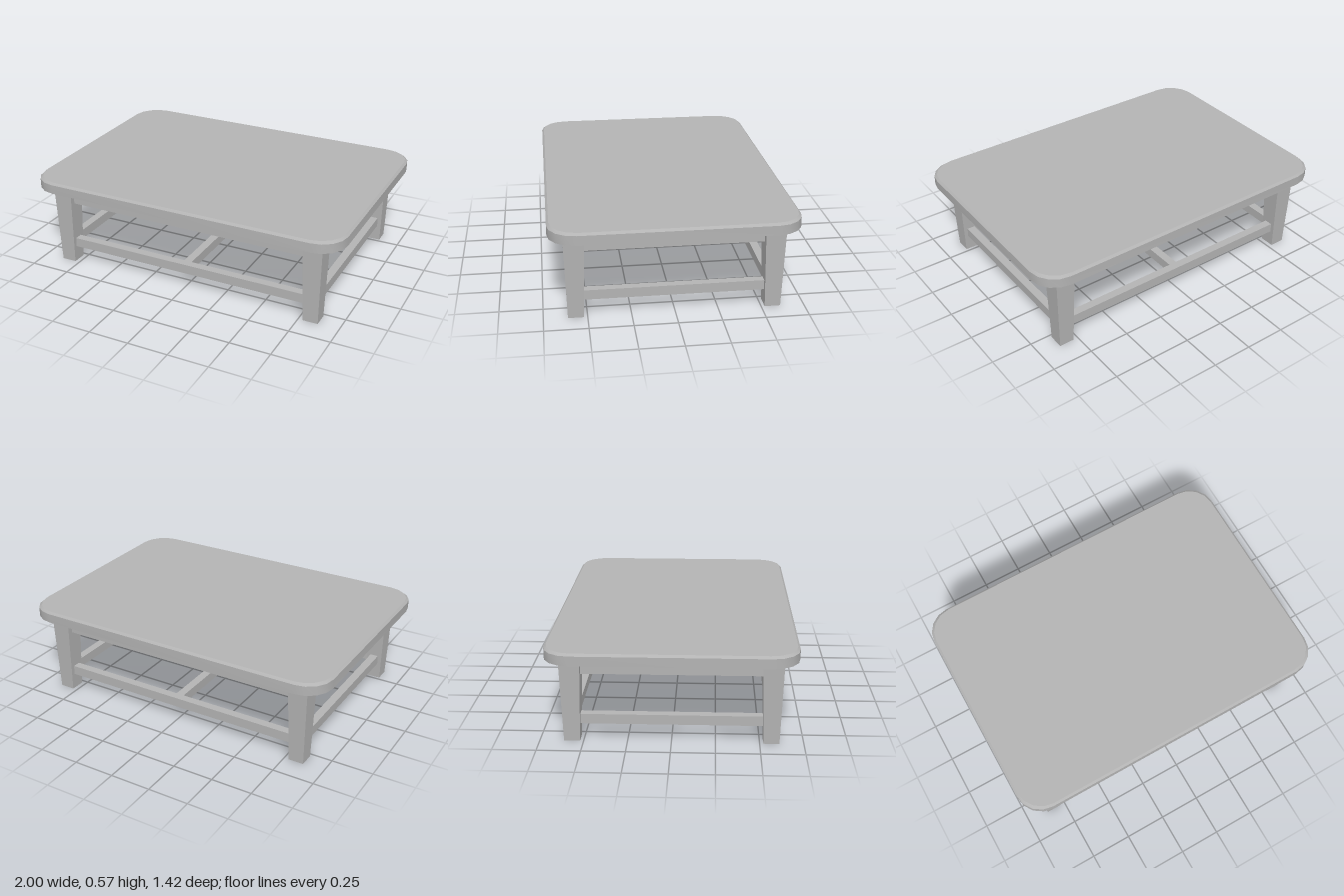
import * as THREE from 'three';
import { toCreasedNormals } from 'three/addons/utils/BufferGeometryUtils.js';

const LEG_X = 0.825, LEG_Z = 0.566, UNDER = 0.505, TOP = 0.575;

export function createModel() {
  const table = new THREE.Group();
  table.name = 'table';
  const grey = new THREE.MeshStandardMaterial({ color: 0xb3b3b3 });
  grey.name = 'plain grey';

  const add = (name, geometry, x, y, z) => {
    const mesh = new THREE.Mesh(geometry, grey);
    mesh.name = name;
    mesh.position.set(x, y, z);
    table.add(mesh);
  };

  // Tabletop: rounded slab, with its upper rim drawn in as a small chamfer
  const w = 1, d = 0.71, r = 0.16, inset = 0.013;
  const outline = new THREE.Shape();
  outline.absarc(w - r, d - r, r, 0, Math.PI / 2);
  outline.absarc(r - w, d - r, r, Math.PI / 2, Math.PI);
  outline.absarc(r - w, r - d, r, Math.PI, Math.PI * 1.5);
  outline.absarc(w - r, r - d, r, Math.PI * 1.5, Math.PI * 2);
  const slab = new THREE.ExtrudeGeometry(outline, {
    depth: TOP - UNDER, steps: 2, curveSegments: 2, bevelEnabled: false,
  });
  const p = slab.attributes.position;
  for (let i = 0; i < p.count; i++) {
    const level = Math.round(p.getZ(i) / (TOP - UNDER) * 2);
    if (level === 1) p.setZ(i, 0.057);
    if (level === 2) {
      p.setX(i, p.getX(i) * (w - inset) / w);
      p.setY(i, p.getY(i) * (d - inset) / d);
    }
  }
  slab.rotateX(-Math.PI / 2);
  add('tabletop', toCreasedNormals(slab, 0.5), 0, UNDER, 0);

  // Tapered square legs
  const leg = new THREE.BoxGeometry(0.12, UNDER, 0.12);
  const q = leg.attributes.position;
  for (let i = 0; i < q.count; i++) {
    if (q.getY(i) < 0) {
      q.setX(i, q.getX(i) * 0.76);
      q.setZ(i, q.getZ(i) * 0.76);
    }
  }
  const legGeometry = toCreasedNormals(leg, 0.2);

  // Aprons and stretchers run between the legs on all four sides
  const rail = (name, x, z, bottom, top, sizeX, sizeZ) =>
    add(name, new THREE.BoxGeometry(sizeX, top - bottom, sizeZ), x, (top + bottom) / 2, z);
  const t = 0.05;

  for (const s of [-1, 1]) {
    const end = s > 0 ? 'front' : 'back';
    const side = s > 0 ? 'left' : 'right';
    for (const sx of [-1, 1]) {
      add(`${end}${sx > 0 ? 'Left' : 'Right'}Leg`, legGeometry, sx * LEG_X, UNDER / 2, s * LEG_Z);
    }
    rail(`${end}Apron`, 0, s * LEG_Z, 0.403, UNDER, 2 * LEG_X - 0.06, t);
    rail(`${side}Apron`, s * LEG_X, 0, 0.403, UNDER, t, 2 * LEG_Z - 0.06);
    rail(`${end}Stretcher`, 0, s * LEG_Z, 0.1, 0.158, 2 * LEG_X - 0.06, t);
    rail(`${side}Stretcher`, s * LEG_X, 0, 0.1, 0.158, t, 2 * LEG_Z - 0.06);
  }
  rail('centreStretcher', 0, 0, 0.1, 0.158, t, 2 * LEG_Z - t);

  return table;
}
